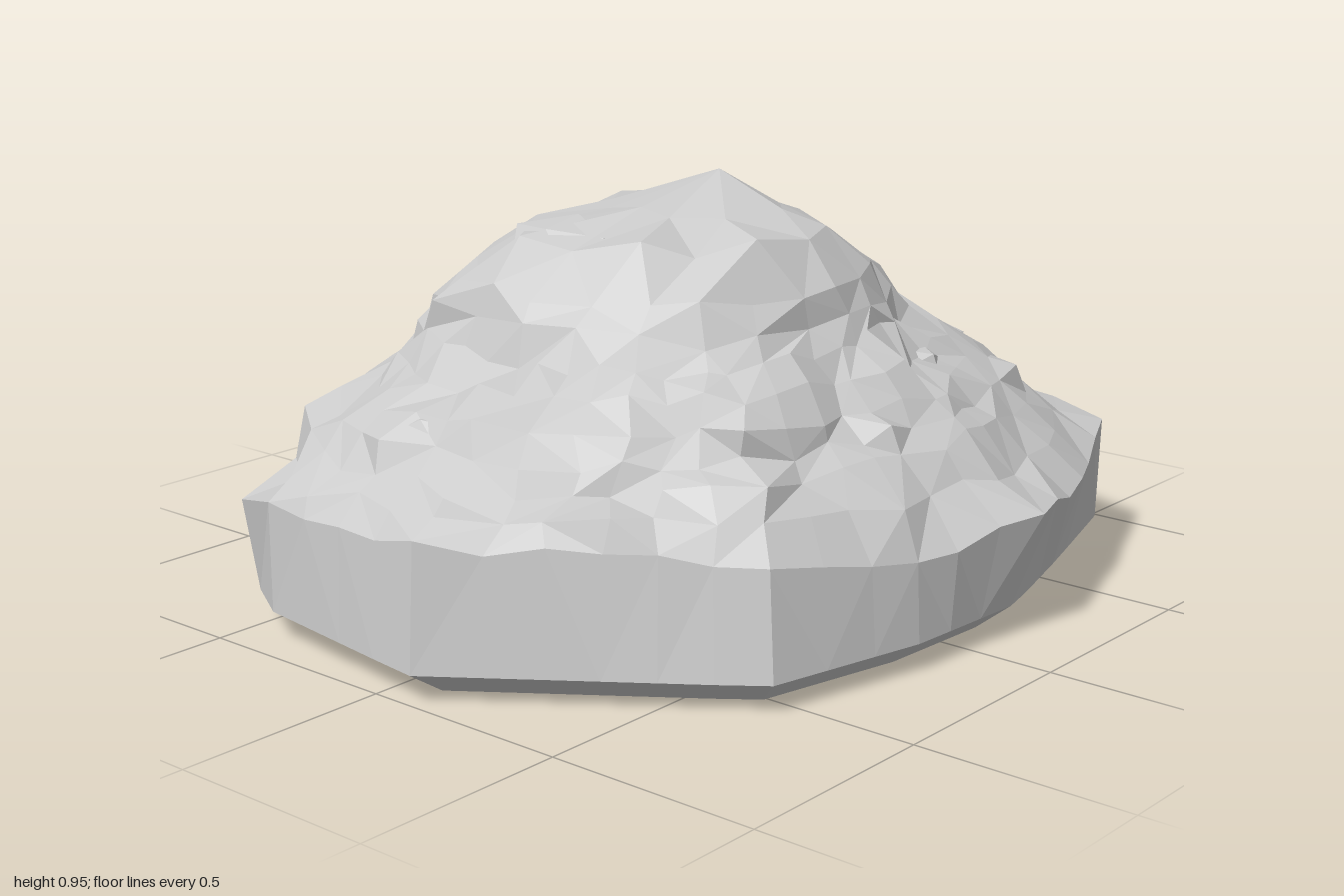
import * as THREE from 'three';

// Outlines of the rock as [x, z] corners; the rim also has a height per corner
const foot = [[1, -.1], [.83, .61], [.47, .72], [.15, .81], [-.18, .79], [-.57, .7], [-1, .1],
  [-.93, -.4], [-.86, -.53], [-.18, -.84], [.72, -.72], [.95, -.63]];
const rim = [[.96, -.1, .36], [.82, .62, .32], [.47, .78, .27], [.15, .88, .29], [-.18, .78, .24],
  [-.54, .67, .3], [-.98, .1, .34], [-.93, -.4, .31], [-.88, -.55, .27], [-.18, -.88, .28],
  [.73, -.73, .26], [.95, -.6, .32]];
const mound = [
  { y: .42, pts: [[.88, -.1], [.77, .4], [.5, .6], [.1, .68], [-.45, .57], [-.87, .12], [-.86, -.3], [-.7, -.52], [-.2, -.81], [.4, -.7], [.8, -.62], [.93, -.52]] },
  { y: .52, pts: [[.75, -.1], [.66, .2], [.5, .48], [.1, .62], [-.4, .5], [-.72, .1], [-.76, -.2], [-.5, -.5], [-.15, -.7], [.35, -.62], [.74, -.5]] },
  { y: .62, pts: [[.58, -.1], [.53, .15], [.35, .38], [0, .47], [-.35, .4], [-.56, .1], [-.57, -.25], [-.4, -.48], [-.1, -.59], [.3, -.54], [.62, -.4]] },
  { y: .75, pts: [[.42, 0], [.3, .33], [.05, .43], [-.3, .34], [-.5, .05], [-.5, -.25], [-.1, -.53], [.25, -.48], [.48, -.3]] },
  { y: .84, pts: [[.32, 0], [.25, .24], [0, .36], [-.25, .24], [-.38, 0], [-.38, -.2], [-.1, -.38], [.15, -.36], [.38, -.24]] },
  { y: .88, pts: [[.24, 0], [.15, .2], [-.05, .24], [-.16, 0], [-.1, -.2], [.12, -.26]] },
];

// Directions around the axis: every rim corner, with even steps between
const ANGLES = rim.flatMap(([x, z], i) => {
  const [nx, nz] = rim[(i + 1) % rim.length];
  const a = Math.atan2(z, x);
  const gap = (Math.atan2(nz, nx) - a + Math.PI * 4) % (Math.PI * 2);
  const steps = Math.max(1, Math.round(gap / .14));
  return Array.from({ length: steps }, (_, s) => a + gap * s / steps);
});
const SEGMENTS = ANGLES.length;

function seeded(seed) {
  return () => {
    seed = (seed * 1664525 + 1013904223) % 4294967296;
    return seed / 4294967296 * 2 - 1;
  };
}

// Point where direction a meets an outline of [x, z, y] corners
function meet(pts, a) {
  const dx = Math.cos(a), dz = Math.sin(a);
  const point = new THREE.Vector3();
  let best = 0;
  pts.forEach(([px, pz, py], i) => {
    const [qx, qz, qy] = pts[(i + 1) % pts.length];
    const ex = qx - px, ez = qz - pz;
    const d = dx * ez - dz * ex;
    if (Math.abs(d) < 1e-9) return;
    const t = (px * ez - pz * ex) / d;
    const s = (px * dz - pz * dx) / d;
    if (t > best && s >= -1e-6 && s <= 1 + 1e-6) {
      best = t;
      point.set(t * dx, py + (qy - py) * s, t * dz);
    }
  });
  return point;
}

const ring = (pts) => ANGLES.map((a) => meet(pts, a));
const level = (pts, y, scale = 1) => ring(pts.map(([x, z]) => [x * scale, z * scale, y]));

function buildRings() {
  const rand = seeded(77);
  // Chamfered foot and the nearly plain wall above it
  const wall = ring(rim);
  wall.forEach((p) => { p.y += rand() * .015; });
  const rings = [level(foot, 0, .9), level(foot, .065), wall];
  // Broken ledges: each in-between ring steps in or out along its length
  let lower = wall;
  mound.forEach(({ y, pts }, k) => {
    const upper = level(pts, y);
    const steps = k < 4 ? 2 : 1;
    for (let s = 1; s <= steps; s++) {
      const rough = upper.map((p, j) => {
        const a = ANGLES[j];
        const v = lower[j].clone().lerp(p, s / steps);
        // The left flank is a smooth slab
        const calm = v.x > .55 && v.z < .3 && v.z > -.6 ? .3 : 1;
        const ledge = Math.sin(a * 5 + k * 2.1 + s * 1.7) * Math.sin(a * 3 - k);
        const out = 1 + calm * (.03 * ledge + rand() * .028);
        v.x *= out;
        v.z *= out;
        v.y += calm * (.014 * ledge + rand() * .018);
        // Slide along the ring for uneven facets
        const slide = calm * rand() * .02;
        v.x -= Math.sin(a) * slide;
        v.z += Math.cos(a) * slide;
        return v;
      });
      // Fewer, broader facets towards the summit
      const stride = [1, 1, 1, 2, 3, 5][k];
      rings.push(rough.map((_, j) => rough[j - j % stride]));
    }
    lower = upper;
  });
  return rings;
}

function rockGeometry() {
  const rings = buildRings();
  const corners = [];
  const face = (a, b, c) => {
    if (a !== b && b !== c && c !== a) corners.push(a, b, c);
  };
  const bottom = new THREE.Vector3(0, 0, 0);
  const peak = new THREE.Vector3(.11, .95, 0);
  const top = rings[rings.length - 1];
  for (let j = 0; j < SEGMENTS; j++) {
    const n = (j + 1) % SEGMENTS;
    face(bottom, rings[0][j], rings[0][n]);
    face(peak, top[n], top[j]);
    for (let i = 0; i < rings.length - 1; i++) {
      const a = rings[i][j], b = rings[i][n];
      const c = rings[i + 1][j], d = rings[i + 1][n];
      if ((i * 7 + j * 3) % 4 < 2) {
        face(a, c, b);
        face(b, c, d);
      } else {
        face(a, c, d);
        face(a, d, b);
      }
    }
  }
  const geometry = new THREE.BufferGeometry().setFromPoints(corners);
  geometry.computeVertexNormals();
  return geometry;
}

// Angular stone made by pushing the corners of an icosahedron
function stoneGeometry(seed) {
  const rand = seeded(seed);
  const geometry = new THREE.IcosahedronGeometry(1, 0);
  const pos = geometry.attributes.position;
  const moved = new Map();
  for (let i = 0; i < pos.count; i++) {
    const v = new THREE.Vector3().fromBufferAttribute(pos, i);
    const key = v.toArray().map((c) => Math.round(c * 100)).join();
    if (!moved.has(key)) moved.set(key, 1 + rand() * .25);
    v.multiplyScalar(moved.get(key));
    pos.setXYZ(i, v.x, v.y, v.z);
  }
  geometry.computeVertexNormals();
  return geometry;
}

export function createModel() {
  const group = new THREE.Group();
  group.name = 'rockMound';
  const material = new THREE.MeshStandardMaterial({ color: 0xcccccc, flatShading: true });

  const rock = new THREE.Mesh(rockGeometry(), material);
  rock.name = 'rock';
  group.add(rock);

  // Outcrops mostly sunk in the slopes: x, y, z, width, height, depth
  [
    [-.3, .81, -.12, .1, .07, .14],
    [-.72, .47, -.08, .1, .06, .16],
    [.27, .53, .42, .12, .06, .1],
    [.54, .51, .24, .12, .05, .12],
    [.3, .79, -.2, .12, .05, .12],
  ].forEach(([x, y, z, w, h, d], i) => {
    const stone = new THREE.Mesh(stoneGeometry(i * 97 + 5), material);
    stone.name = 'outcrop' + (i + 1);
    stone.position.set(x, y, z);
    stone.scale.set(w, h, d);
    group.add(stone);
  });
  return group;
}
